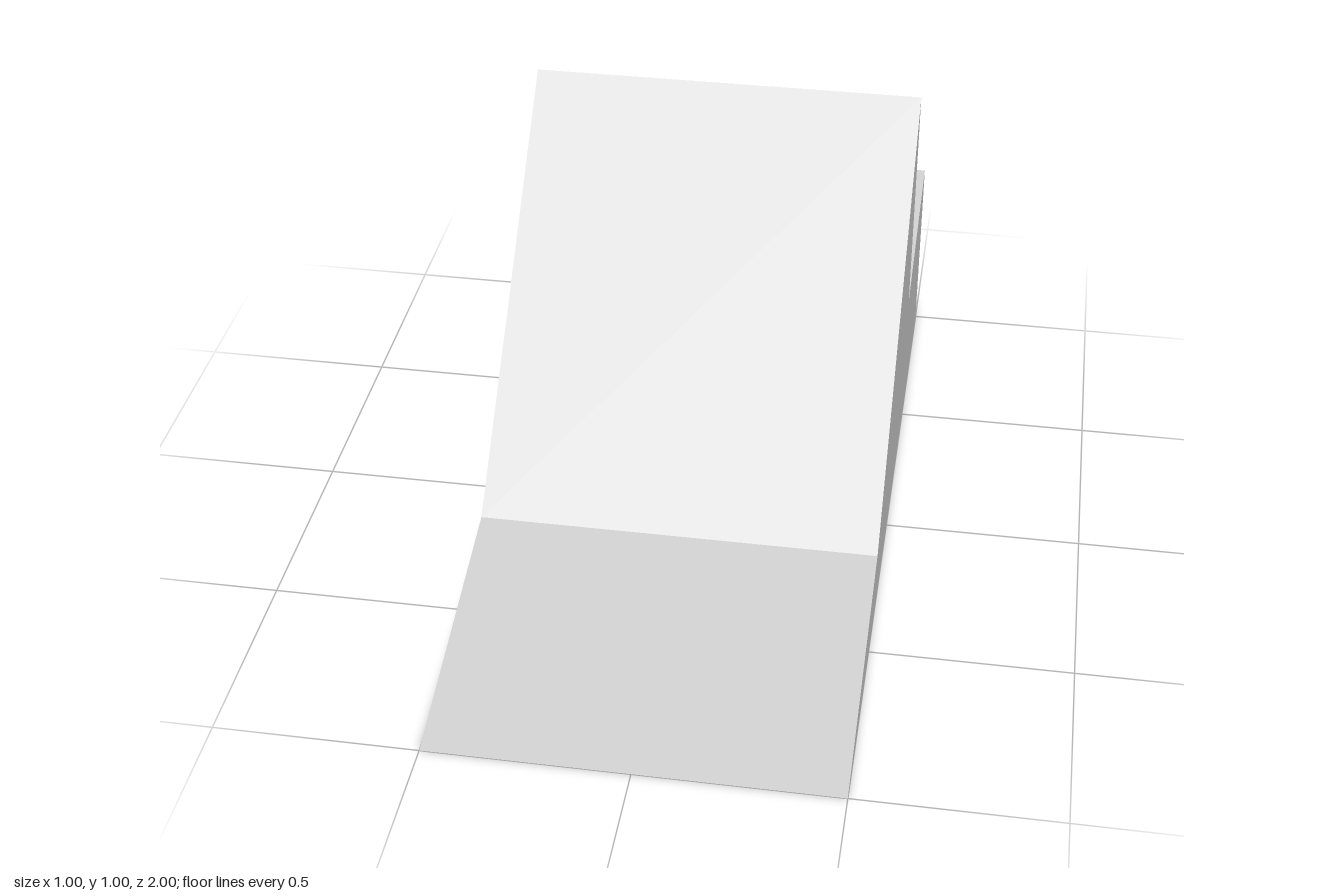
import * as THREE from 'three';

export function createModel() {
  const group = new THREE.Group();
  const material = new THREE.MeshStandardMaterial({ color: 0xcccccc, flatShading: true });

  // Side profile as [distance towards the back, height]
  const profile = [
    [-1, 0], [1, 0], // flat base
    [1, 0.5], [0.5, 0.375], // shallow slope behind the peak
    [0.5, 1], // vertical back of the steep wedge
    [-1 / 3, 1 / 6], // where the steep ramp meets the shallow one
  ];
  const shape = new THREE.Shape(profile.map(([u, y]) => new THREE.Vector2(u, y)));

  // Extrude across the width, then turn so the low end faces +z
  const geometry = new THREE.ExtrudeGeometry(shape, { depth: 1, bevelEnabled: false });
  geometry.translate(0, 0, -0.5);
  geometry.rotateY(Math.PI / 2);

  const ramp = new THREE.Mesh(geometry, material);
  ramp.name = 'doubleRamp';
  group.add(ramp);
  return group;
}
